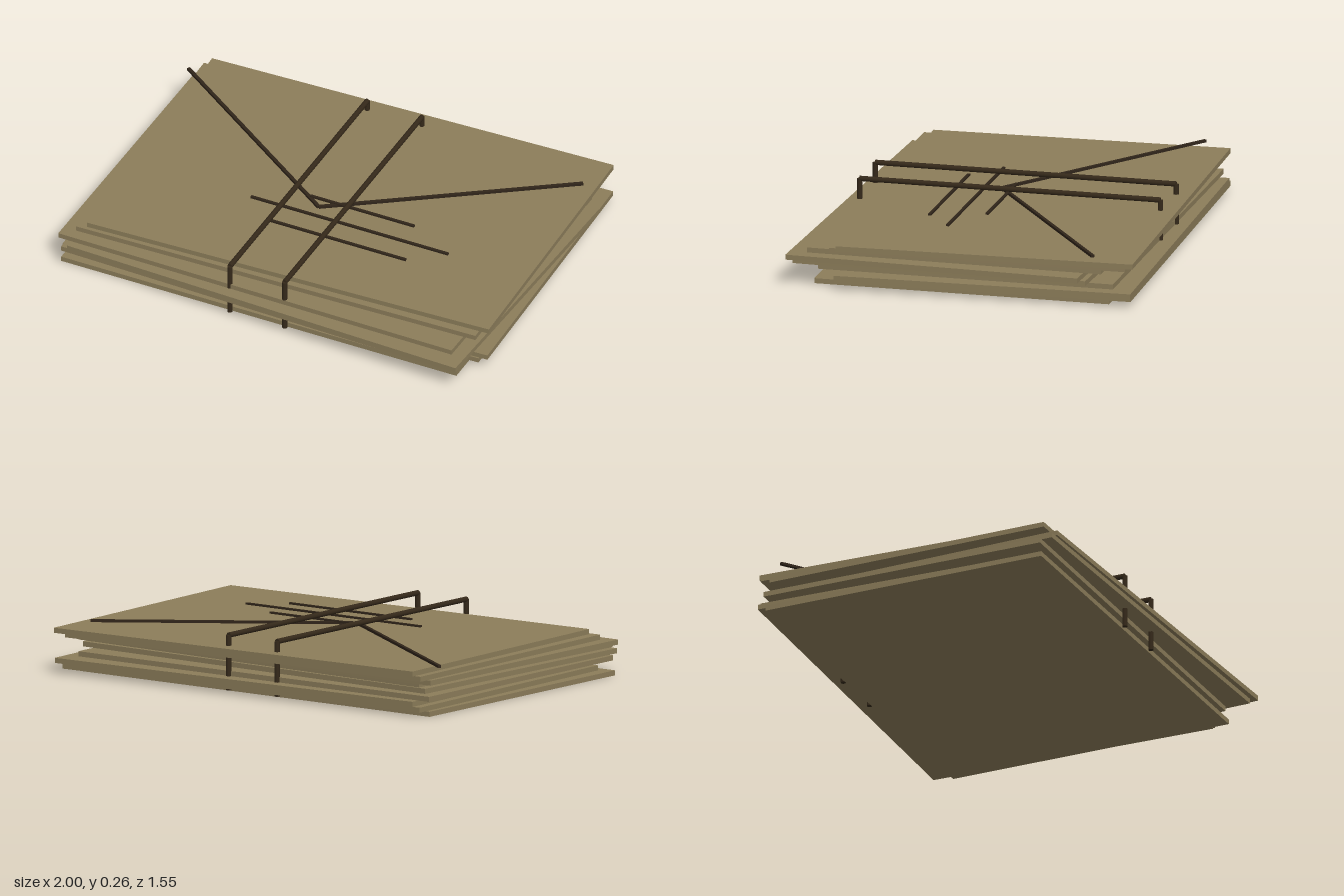
import * as THREE from 'three';

export function createModel() {
  const group = new THREE.Group();
  const material = (name, color) => {
    const m = new THREE.MeshStandardMaterial({ color });
    m.name = name;
    return m;
  };
  const tan = material('tan board', 0x8c7d5a);
  const cord = material('dark cord', 0x35291a);
  const ink = material('dark marking', 0x30251a);
  const centre = -0.046; // x of the bindings and the markings

  const add = (name, geometry, mat, x, y, z) => {
    const mesh = new THREE.Mesh(geometry, mat);
    mesh.name = name;
    mesh.position.set(x, y, z);
    group.add(mesh);
    return mesh;
  };

  // Loose stack of boards, each slid and twisted a little
  const count = 9, thick = 0.0222;
  const boardGeometry = new THREE.BoxGeometry(1.896, thick, 1.312);
  for (let i = 0; i < count; i++) {
    const sway = Math.sin(i);
    const board = add('board', boardGeometry, tan,
      centre + (i % 3) * 0.0375, (i + 0.5) * thick, -0.0875 * sway);
    board.rotation.y = 0.035 * sway;
  }

  // Two cord bindings: a bar over the top and a leg at each end
  const radius = 0.012, reach = 0.67, top = 0.245, foot = 0.005;
  const barGeometry = new THREE.CylinderGeometry(radius, radius, reach * 2, 8).rotateX(Math.PI / 2);
  const legGeometry = new THREE.CylinderGeometry(radius, radius, top - foot, 8);
  for (const side of [-1, 1]) {
    const x = centre + side * 0.1315;
    add('bindingBar', barGeometry, cord, x, top, 0);
    for (const end of [-1, 1]) {
      add('bindingLeg', legGeometry, cord, x, (top + foot) / 2, end * reach);
    }
  }

  // V-shaped fold line across the top
  const run = 0.947, rise = 0.655;
  const foldGeometry = new THREE.BoxGeometry(Math.hypot(run, rise), 0.011, 0.015);
  for (const side of [-1, 1]) {
    const fold = add('foldLine', foldGeometry, ink,
      centre + side * run / 2, 0.21, 0.071 - rise / 2);
    fold.rotation.y = side * Math.atan2(rise, run);
  }

  // Three ruled strokes: x start, x end, z
  for (const [x0, x1, z] of [[-0.11, 0.39, 0.022], [-0.337, 0.61, 0.14], [-0.195, 0.465, 0.258]]) {
    add('ruledStroke', new THREE.BoxGeometry(x1 - x0, 0.008, 0.013), ink, (x0 + x1) / 2, 0.216, z);
  }

  return group;
}
